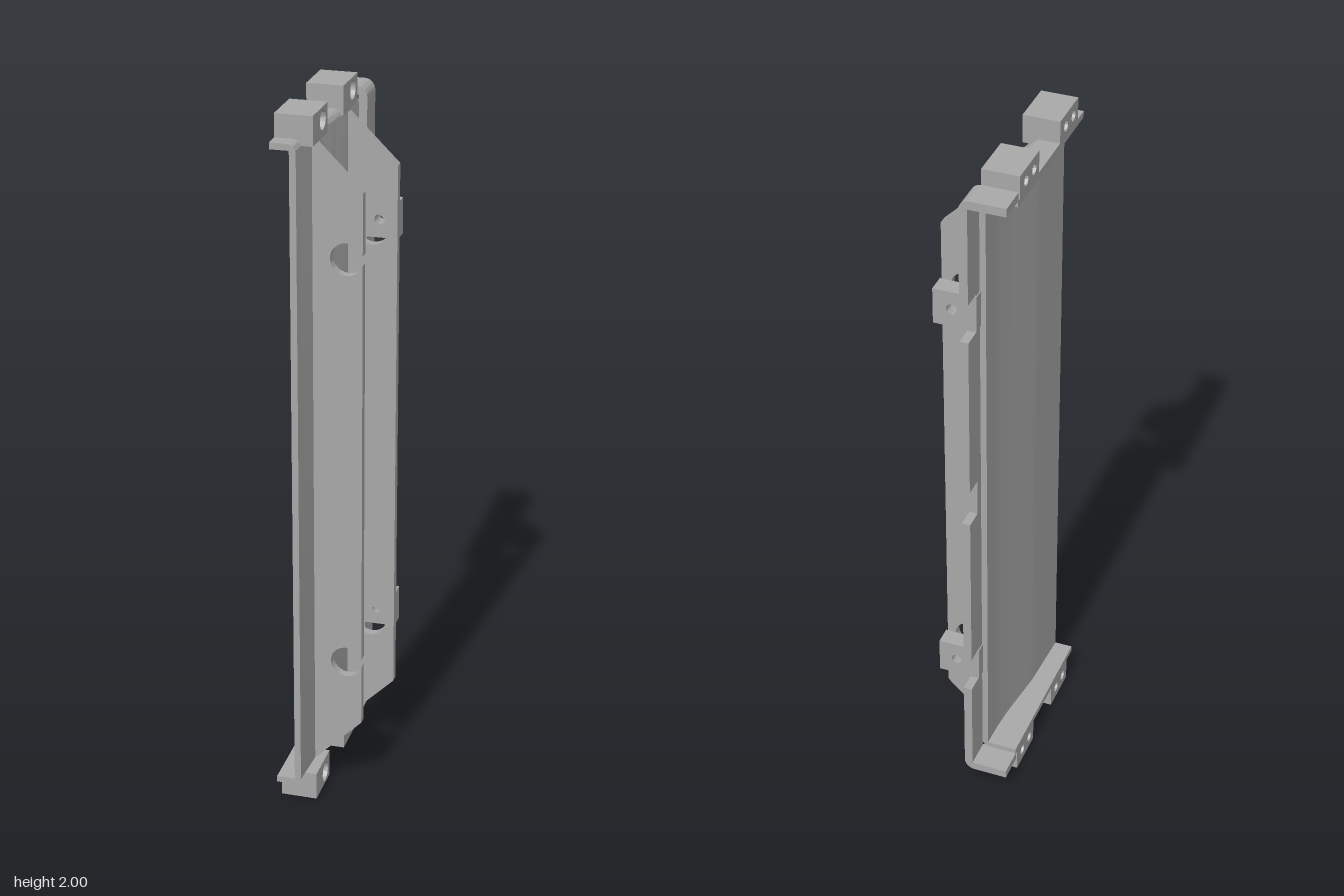
import * as THREE from 'three';
import { toCreasedNormals } from 'three/addons/utils/BufferGeometryUtils.js';

const grey = new THREE.MeshStandardMaterial({ color: 0xa8a8a8 });
grey.name = 'plain grey';

const BACK = -0.12;               // inner end of the lips
const HOLE_X = 0.048;             // axis shared by lug and rib holes
const HOLE_Y = [0.409, 1.598];

function circle(x, y, r) {
  return new THREE.Path().absarc(x, y, r, 0, Math.PI * 2, true);
}

// Extrude an x-y shape between two z values
function extrudeZ(shape, z0, z1, steps = 1) {
  return new THREE.ExtrudeGeometry(shape, { depth: z1 - z0, steps, bevelEnabled: false, curveSegments: 16 })
    .translate(0, 0, z0);
}

// Upright wall with a lip at top and bottom, rounded outer corners
function channelShape(xo, y0, y1, t, r) {
  const s = new THREE.Shape();
  s.moveTo(BACK, y0);
  s.lineTo(xo - r, y0);
  s.absarc(xo - r, y0 + r, r, -Math.PI / 2, 0, false);
  s.lineTo(xo, y1 - r);
  s.absarc(xo - r, y1 - r, r, 0, Math.PI / 2, false);
  s.lineTo(BACK, y1);
  s.lineTo(BACK, y1 - t);
  s.lineTo(xo - t, y1 - t);
  s.lineTo(xo - t, y0 + t);
  s.lineTo(BACK, y0 + t);
  s.closePath();
  return s;
}

// Half of the rim channel, from a cut height out to its lip; side is 1 (top) or -1
function hookShape(xo, cut, end, t, r, side) {
  const s = new THREE.Shape();
  s.moveTo(xo - t, cut);
  s.lineTo(xo, cut);
  s.lineTo(xo, end - side * r);
  s.absarc(xo - r, end - side * r, r, 0, side * Math.PI / 2, side < 0);
  s.lineTo(BACK, end);
  s.lineTo(BACK, end - side * t);
  s.lineTo(xo - t, end - side * t);
  s.closePath();
  return s;
}

// Outer face of the wall along the depth: [z, x]
const CURVE = [[-0.2, -0.016], [-0.12, -0.018], [-0.053, -0.023], [0.1, -0.042], [0.235, -0.048], [0.28, -0.05]];
function wallX(z) {
  for (let i = 1; i < CURVE.length; i++) {
    const [z0, x0] = CURVE[i - 1], [z1, x1] = CURVE[i];
    if (z <= z1 + 1e-6) return x0 + (x1 - x0) * (z - z0) / (z1 - z0);
  }
  return CURVE[CURVE.length - 1][1];
}

// Rib outline with chamfered ends
function ribShape(xi, xo, holeR) {
  const s = new THREE.Shape();
  const broken = HOLE_X + holeR > xo;   // hole opens through the edge
  s.moveTo(xi - 0.012, 0.085);
  s.lineTo(xi, 0.085);
  s.lineTo(xo, 0.22);
  if (broken) {
    const a = Math.acos((xo - HOLE_X) / holeR);
    HOLE_Y.forEach(y => {
      s.lineTo(xo, y - Math.sin(a) * holeR);
      s.absarc(HOLE_X, y, holeR, -a, a, true);
    });
  }
  s.lineTo(xo, 1.78);
  s.lineTo(xi, 1.915);
  s.lineTo(xi - 0.012, 1.915);
  s.closePath();
  if (!broken) HOLE_Y.forEach(y => s.holes.push(circle(HOLE_X, y, holeR)));
  return s;
}

export function createModel() {
  const model = new THREE.Group();
  model.name = 'mountingPanel';
  const add = (name, geo, parent = model) => {
    const mesh = new THREE.Mesh(toCreasedNormals(geo, 0.6), grey);
    mesh.name = name;
    parent.add(mesh);
    return mesh;
  };

  // Main panel: straight channel, its wall then moved to follow the curve
  const panel = extrudeZ(channelShape(0, 0.067, 1.937, 0.018, 0.025), -0.2, 0.28, 24);
  const p = panel.attributes.position;
  for (let i = 0; i < p.count; i++) {
    if (p.getX(i) > BACK + 0.01) p.setX(i, p.getX(i) + wallX(p.getZ(i)));
  }
  add('panel', panel);

  // Stepped rim at the back, notched along its free edge
  const rim = new THREE.Group();
  rim.name = 'rim';
  model.add(rim);
  const RX = 0.007, T = 0.024, R = 0.03;
  add('rimBase', extrudeZ(channelShape(RX, 0.045, 1.96, T, R), -0.226, -0.197), rim);
  add('rimLowerEnd', extrudeZ(hookShape(RX, 0.355, 0.045, T, R, -1), -0.28, -0.226), rim);
  add('rimUpperEnd', extrudeZ(hookShape(RX, 1.655, 1.96, T, R, 1), -0.28, -0.226), rim);
  for (const [y0, y1] of [[0.465, 0.95], [1.06, 1.54]]) {
    add('rimTongue', new THREE.BoxGeometry(T, y1 - y0, 0.054).translate(RX - T / 2, (y0 + y1) / 2, -0.253), rim);
  }

  // Ribs
  add('frontRib', extrudeZ(ribShape(-0.044, 0.091, 0.045), 0.13, 0.155));
  add('backRib', extrudeZ(ribShape(-0.018, 0.118, 0.045), -0.125, -0.1));

  // Screw lugs on the rim
  for (const y of HOLE_Y) {
    const s = new THREE.Shape();
    s.moveTo(-0.02, y - 0.052);
    s.lineTo(0.1, y - 0.052);
    s.lineTo(0.1, y + 0.052);
    s.lineTo(-0.02, y + 0.052);
    s.closePath();
    s.holes.push(circle(HOLE_X, y, 0.015));
    add('screwLug', extrudeZ(s, -0.231, -0.18));
  }

  // Corner blocks: a counterbored through hole and a blind hole from the inside
  for (const z0 of [-0.188, 0.1]) {
    for (const [y0, y1, hy] of [[0, 0.08, 0.035], [1.92, 2, 1.965]]) {
      const block = new THREE.Group();
      block.name = 'cornerBlock';
      model.add(block);
      const layer = (name, x0, x1, holes) => {
        const s = new THREE.Shape();
        s.moveTo(-z0, y0);
        s.lineTo(-z0, y1);
        s.lineTo(-z0 - 0.135, y1);
        s.lineTo(-z0 - 0.135, y0);
        s.closePath();
        holes.forEach(([dz, r]) => s.holes.push(circle(-z0 - dz, hy, r)));
        const geo = extrudeZ(s, x0, x1).rotateY(Math.PI / 2);
        add(name, geo, block);
      };
      layer('blockInner', BACK, -0.045, [[0.044, 0.015], [0.1, 0.015]]);
      layer('blockOuter', -0.045, -0.018, [[0.044, 0.027]]);
    }
  }
  return model;
}
